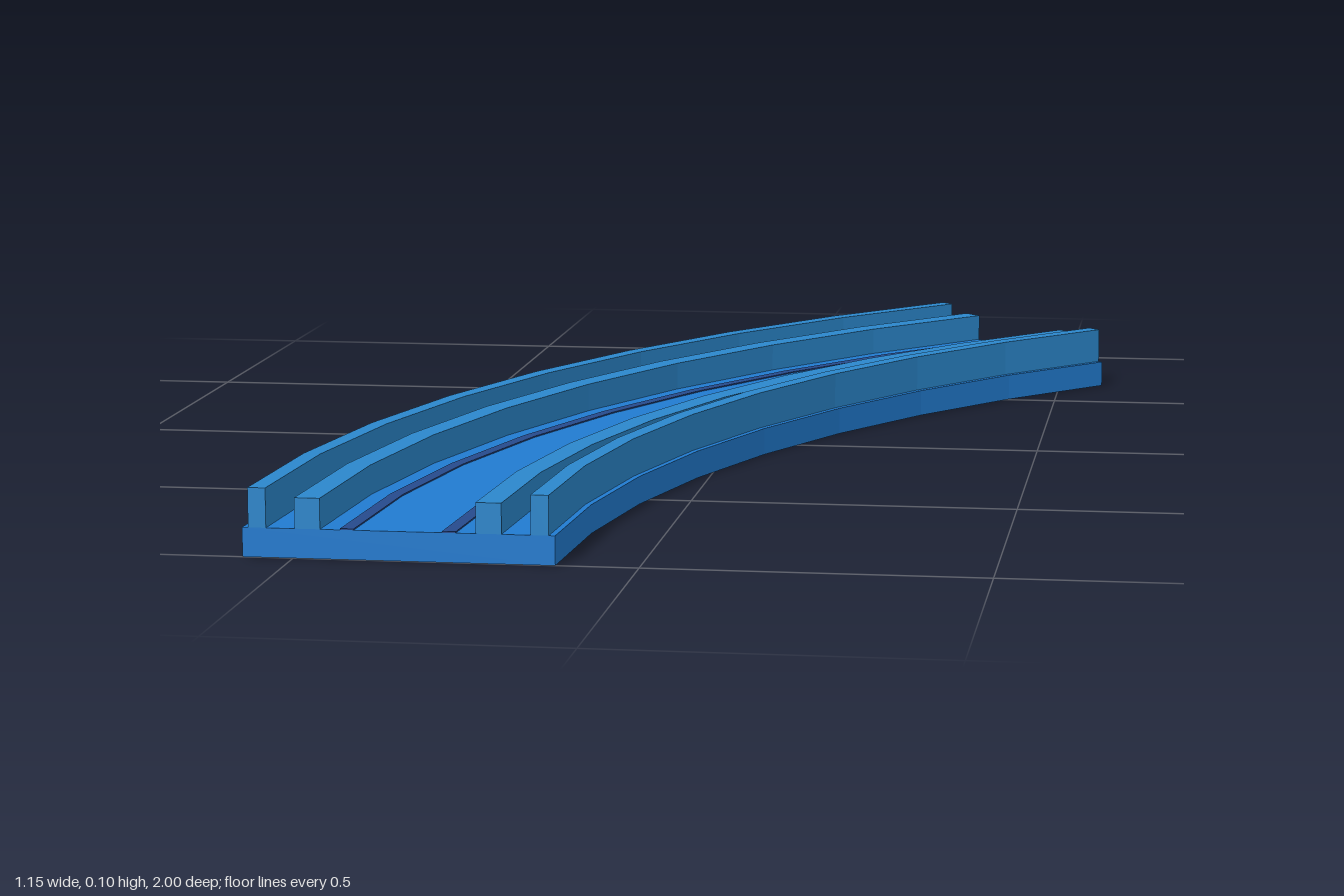
import * as THREE from 'three';

// The track sweeps 45 degrees about a centre on the +x side
const CENTRE_X = 2.254, CENTRE_Z = 1, RADIUS = 2.601;
const SWEEP = Math.PI / 4, SEGMENTS = 8;

const material = (name, color) => {
  const m = new THREE.MeshStandardMaterial({ color });
  m.name = name;
  return m;
};

// Curved bar between two offsets from the centre line, from y0 to y1
function curvedBar(offset0, offset1, y0, y1) {
  const arc = (offset) => Array.from({ length: SEGMENTS + 1 }, (_, i) => {
    const a = (SWEEP * i) / SEGMENTS, r = RADIUS + offset;
    return new THREE.Vector2(CENTRE_X - r * Math.cos(a), r * Math.sin(a) - CENTRE_Z);
  });
  const shape = new THREE.Shape([...arc(offset0), ...arc(offset1).reverse()]);
  const geometry = new THREE.ExtrudeGeometry(shape, { depth: y1 - y0, bevelEnabled: false });
  return geometry.rotateX(-Math.PI / 2).translate(0, y0, 0);
}

export function createModel() {
  const group = new THREE.Group();
  group.name = 'curvedTrack';
  const blue = material('track blue', 0x217bd0);
  const lightBlue = material('rail light blue', 0x2b87cc);
  const navy = material('stripe navy', 0x264a8c);

  const add = (name, mat, ...bar) => {
    const mesh = new THREE.Mesh(curvedBar(...bar), mat);
    mesh.name = name;
    group.add(mesh);
  };

  // Flat bed
  add('bed', blue, -0.227, 0.227, 0, 0.043);

  // Side walls, guide rails and floor stripes, mirrored about the centre line
  for (const [side, s] of [['inner', -1], ['outer', 1]]) {
    add(side + 'Wall', lightBlue, s * 0.192, s * 0.218, 0.043, 0.101);
    add(side + 'GuideRail', lightBlue, s * 0.113, s * 0.15, 0.043, 0.088);
    add(side + 'Stripe', navy, s * 0.064, s * 0.084, 0.043, 0.045);
  }
  return group;
}
